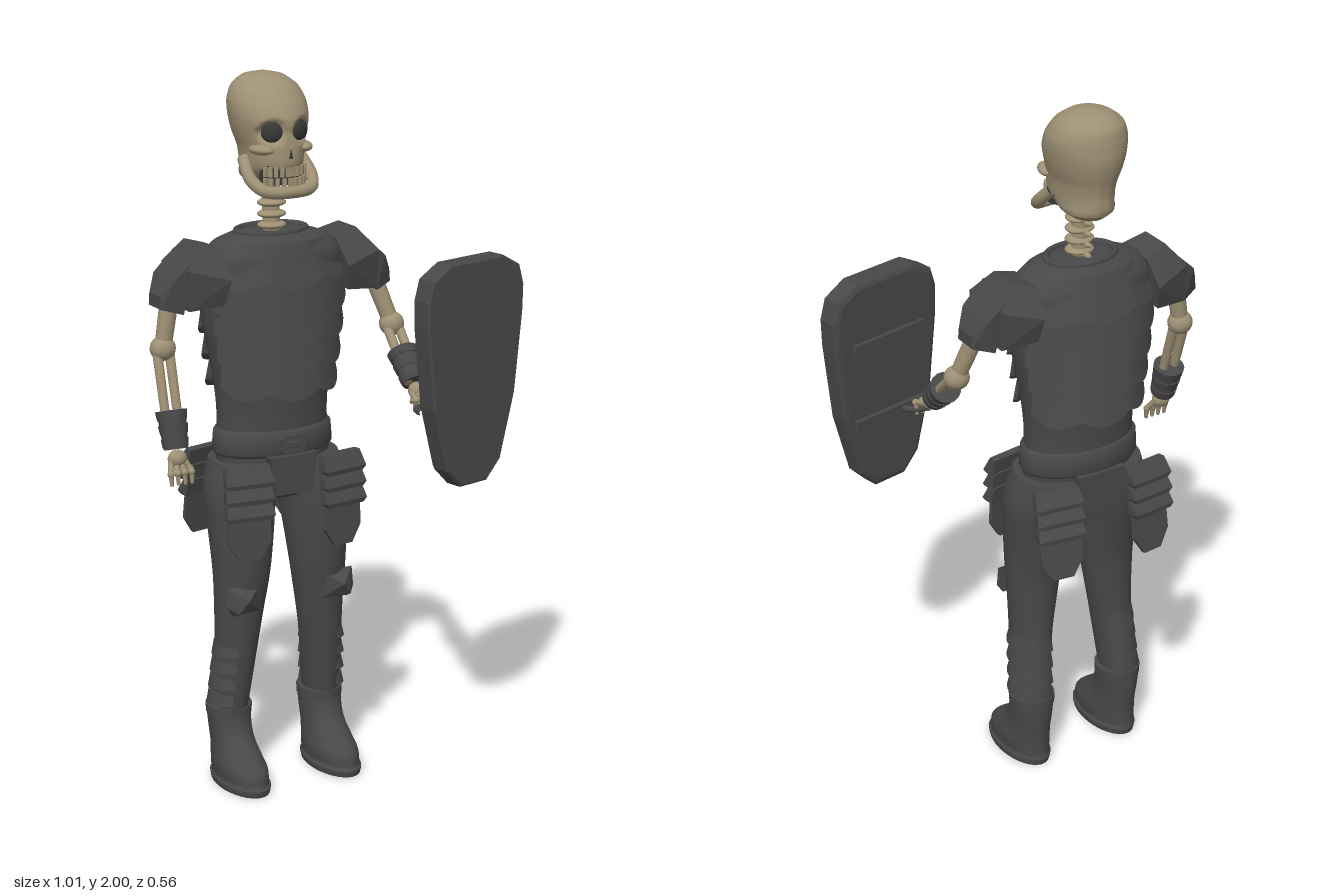
import * as THREE from 'three';
import { toCreasedNormals } from 'three/addons/utils/BufferGeometryUtils.js';
import { ConvexGeometry } from 'three/addons/geometries/ConvexGeometry.js';

const V = (x, y, z) => new THREE.Vector3(x, y, z);
const mat = (name, color) => Object.assign(new THREE.MeshStandardMaterial({ color }), { name });

export function createModel() {
  const bone = mat('bone', 0x9e9074), armour = mat('darkArmour', 0x484848), hollow = mat('hollow', 0x3a3835);
  const model = new THREE.Group();
  const body = new THREE.Group();
  body.name = 'skeletonWarrior';
  body.position.x = -0.12;
  model.add(body);

  const add = (name, geo, material, parent = body) => {
    const m = new THREE.Mesh(geo, material);
    m.name = name;
    parent.add(m);
    return m;
  };

  // Closed skin over a row of equal loops, capped at both ends and turned outward
  const skin = (rings, crease = 0.7) => {
    const n = rings[0].length, pts = rings.flat(), idx = [];
    for (let i = 0; i < rings.length - 1; i++) for (let j = 0; j < n; j++) {
      const a = i * n + j, b = i * n + (j + 1) % n;
      idx.push(a, a + n, b, b, a + n, b + n);
    }
    [0, rings.length - 1].forEach((r, end) => {
      const c = rings[r].reduce((s, p) => s.add(p), V(0, 0, 0)).divideScalar(n);
      const k = pts.push(c) - 1;
      for (let j = 0; j < n; j++) {
        const a = r * n + j, b = r * n + (j + 1) % n;
        end ? idx.push(k, b, a) : idx.push(k, a, b);
      }
    });
    let vol = 0;
    for (let i = 0; i < idx.length; i += 3)
      vol += pts[idx[i]].dot(V(0, 0, 0).crossVectors(pts[idx[i + 1]], pts[idx[i + 2]]));
    if (vol < 0) idx.reverse();
    const g = new THREE.BufferGeometry().setFromPoints(pts);
    g.setIndex(idx);
    return toCreasedNormals(g, crease);
  };

  // Elliptic loops smoothed through sections of [y, x, z, rx, rz]
  const loops = (secs, steps = 4, n = 32) => {
    const c = new THREE.CatmullRomCurve3(secs.map(s => V(s[1], s[0], s[2])));
    const r = new THREE.CatmullRomCurve3(secs.map(s => V(s[3], s[4], 0)));
    const count = (secs.length - 1) * steps;
    return Array.from({ length: count + 1 }, (_, i) => {
      const p = c.getPoint(i / count), q = r.getPoint(i / count);
      return Array.from({ length: n }, (_, j) => {
        const a = j / n * Math.PI * 2;
        return V(p.x + q.x * Math.cos(a), p.y, p.z + q.y * Math.sin(a));
      });
    });
  };
  const loft = (secs, steps, n) => skin(loops(secs, steps, n));

  // Curved plate with thickness; its lower edge follows dip(u), u from -1 to 1
  const plate = (x, z, top, bottom, mid, half, dip, t = 0.012) => skin(Array.from({ length: 25 }, (_, i) => {
    const u = i / 12 - 1, a = mid + u * half, d = dip(u);
    const at = ([y, rx, rz], o, dy) => V(x + (rx + o) * Math.cos(a), y + dy, z + (rz + o) * Math.sin(a));
    return [at(top, -t, 0), at(top, 0, 0), at(bottom, 0, d), at(bottom, -t, d)];
  }), 0.4);

  const rod = (name, a, b, r0, r1, material, sides = 12) => {
    const m = add(name, new THREE.CylinderGeometry(r1, r0, a.distanceTo(b), sides), material);
    m.position.copy(a).lerp(b, 0.5);
    m.quaternion.setFromUnitVectors(V(0, 1, 0), b.clone().sub(a).normalize());
    return m;
  };
  const ball = (name, p, rx, ry, rz, material) => {
    const m = add(name, new THREE.SphereGeometry(1, 20, 14), material);
    m.position.copy(p);
    m.scale.set(rx, ry, rz);
    return m;
  };
  const outline = half => new THREE.Shape([...half, ...half.map(([x, y]) => [-x, y]).reverse()].map(p => new THREE.Vector2(...p)));

  // Skull with sunken eye sockets
  const skull = loops([[1.7, 0, -0.14, 0.045, 0.05], [1.72, 0, -0.132, 0.07, 0.08], [1.755, 0, -0.104, 0.077, 0.112],
    [1.8, 0, -0.105, 0.082, 0.117], [1.84, 0, -0.113, 0.095, 0.121], [1.88, 0, -0.117, 0.104, 0.125],
    [1.92, 0, -0.126, 0.106, 0.115], [1.96, 0, -0.138, 0.091, 0.096], [1.988, 0, -0.145, 0.055, 0.06],
    [2.0, 0, -0.145, 0.003, 0.003]], 5, 64);
  for (const p of skull.flat()) {
    const d = Math.hypot(Math.abs(p.x) - 0.043, p.y - 1.853) / 0.036;
    if (p.z > -0.1 && d < 1) p.z -= 0.035 * (1 - d * d);
  }
  add('skull', skin(skull, 1.2), bone);
  for (const s of [-1, 1]) {
    ball('eyeSocket', V(s * 0.043, 1.853, -0.017), 0.029, 0.028, 0.012, hollow).rotation.y = s * 0.4;
    ball('cheekbone', V(s * 0.066, 1.805, -0.035), 0.022, 0.014, 0.04, bone).rotation.y = s * -0.4;
  }
  const nose = add('noseHole', new THREE.ConeGeometry(0.02, 0.045, 3), hollow);
  nose.position.set(0, 1.805, 0.009);
  nose.scale.z = 0.35;
  add('jaw', new THREE.TubeGeometry(new THREE.CatmullRomCurve3([V(-0.085, 1.775, -0.1), V(-0.092, 1.725, -0.045),
    V(-0.07, 1.698, -0.005), V(0, 1.692, 0.01), V(0.07, 1.698, -0.005), V(0.092, 1.725, -0.045), V(0.085, 1.775, -0.1)]),
    40, 0.017, 10), bone);
  add('mouthHollow', loft([[1.71, 0, -0.045, 0.06, 0.045], [1.765, 0, -0.045, 0.062, 0.05]], 1, 24), hollow);
  for (const [y, n] of [[1.747, 10], [1.717, 9]]) for (let i = 0; i < n; i++) {
    const a = (i / (n - 1) - 0.5) * 2.3;
    const tooth = add('tooth', new THREE.BoxGeometry(0.011, 0.026, 0.01), bone);
    tooth.position.set(Math.sin(a) * 0.064, y, -0.046 + Math.cos(a) * 0.055);
    tooth.rotation.y = a;
  }

  // Neck vertebrae
  rod('spine', V(0, 1.55, -0.1), V(0, 1.73, -0.11), 0.024, 0.024, bone);
  for (let i = 0; i < 5; i++) {
    ball('vertebra', V(0, 1.585 + i * 0.031, -0.1), 0.041, 0.012, 0.036, bone);
    ball('vertebraSpur', V(0, 1.58 + i * 0.031, -0.138), 0.009, 0.008, 0.016, bone);
  }

  // Torso, belt and hips
  add('torso', loft([[0.95, 0, -0.105, 0.168, 0.105], [1.06, 0, -0.105, 0.164, 0.106], [1.18, 0, -0.105, 0.175, 0.113],
    [1.3, 0, -0.105, 0.2, 0.12], [1.42, 0, -0.105, 0.217, 0.124], [1.51, 0, -0.105, 0.212, 0.118],
    [1.55, 0, -0.105, 0.17, 0.1], [1.572, 0, -0.105, 0.105, 0.075]], 4, 40), armour);
  const collar = add('collar', new THREE.TorusGeometry(0.1, 0.01, 8, 36), armour);
  collar.position.set(0, 1.572, -0.105);
  collar.rotation.x = Math.PI / 2;
  collar.scale.y = 0.72;
  const bands = [[1.55, 0.165, 1.45, 0.222], [1.465, 0.21, 1.365, 0.22], [1.385, 0.205, 1.29, 0.213],
    [1.31, 0.195, 1.215, 0.203], [1.235, 0.18, 1.14, 0.192]];
  const wave = u => -0.022 * Math.abs(Math.cos(u * Math.PI * 1.5)) + 0.02 * u * u;
  for (const [y0, r0, y1, r1] of bands) {
    const z0 = y0 > 1.5 ? 0.105 : 0.12;
    add('chestBand', plate(0, -0.105, [y0, r0, z0], [y1, r1, 0.142], Math.PI / 2, 1.25, wave), armour);
    add('backBand', plate(0, -0.105, [y0, r0, z0], [y1, r1, 0.15], -Math.PI / 2, 1.25, wave, 0.018), armour);
  }
  add('belt', loft([[0.955, 0, -0.105, 0.172, 0.108], [0.965, 0, -0.105, 0.179, 0.115], [1.02, 0, -0.105, 0.175, 0.113],
    [1.03, 0, -0.105, 0.166, 0.106]], 2, 40), armour);
  const buckleShape = outline([[0.03, 0.025], [0.038, 0.015], [0.038, -0.015], [0.03, -0.025]]);
  buckleShape.holes.push(outline([[0.024, 0.013], [0.024, -0.013]]));
  add('buckle', new THREE.ExtrudeGeometry(buckleShape, { depth: 0.014, bevelEnabled: false }), armour).position.set(0, 0.993, 0.007);
  add('buckleTongue', new THREE.BoxGeometry(0.05, 0.01, 0.016), armour).position.set(0, 0.993, 0.012);
  add('hips', loft([[0.83, 0, -0.095, 0.09, 0.075], [0.87, 0, -0.095, 0.16, 0.1], [0.97, 0, -0.105, 0.172, 0.106]], 4), armour);
  const loin = new THREE.ExtrudeGeometry(outline([[0.074, 0.06], [0.058, -0.05]]), { depth: 0.03, bevelEnabled: false });
  for (const z of [-0.007, -0.227]) add('loinGuard', loin, armour).position.set(0, 0.902, z);

  const flapGeo = new THREE.ExtrudeGeometry(outline([[0.06, 0.1], [0.062, -0.05], [0.03, -0.1]]), { depth: 0.012, bevelEnabled: false });
  const bootSide = [[0, 0, -0.035, 0.066, 0.128], [0.018, 0, -0.035, 0.069, 0.132], [0.024, 0, -0.037, 0.064, 0.127],
    [0.055, 0, -0.04, 0.066, 0.122], [0.085, 0, -0.057, 0.062, 0.106], [0.115, 0, -0.077, 0.058, 0.088],
    [0.145, 0, -0.092, 0.058, 0.076], [0.18, 0, -0.1, 0.06, 0.07], [0.215, 0, -0.103, 0.063, 0.067]];

  for (const s of [-1, 1]) {
    // Leg, boot and shin wraps
    add('leg', loft([[0.18, s * 0.148, -0.102, 0.047, 0.06], [0.3, s * 0.143, -0.088, 0.055, 0.066],
      [0.42, s * 0.134, -0.075, 0.061, 0.067], [0.52, s * 0.127, -0.07, 0.07, 0.072], [0.62, s * 0.121, -0.066, 0.08, 0.082],
      [0.74, s * 0.117, -0.075, 0.09, 0.1], [0.86, s * 0.113, -0.09, 0.098, 0.114], [0.94, s * 0.1, -0.1, 0.088, 0.108]]), armour);
    add('boot', loft(bootSide.map(([y, , ...r]) => [y, s * 0.147, ...r]), 3), armour);
    add('bootCuff', loft([[0.197, s * 0.147, -0.102, 0.064, 0.069], [0.222, s * 0.147, -0.102, 0.065, 0.069]], 1), armour);
    for (let i = 0; i < 4; i++)
      add('shinWrap', plate(s * (0.136 + i * 0.003), -0.077 - i * 0.006, [0.415 - i * 0.05, 0.06, 0.066],
        [0.375 - i * 0.05, 0.067, 0.074], s > 0 ? -0.5 : Math.PI + 0.5, 1.7, u => 0.012 * s * u, 0.01), armour);

    // Knee guard with a raised ridge
    const knee = [[-0.052, 0.6, 0], [0.05, 0.6, 0], [0.055, 0.545, 0], [0.035, 0.515, 0], [-0.05, 0.52, 0], [0.005, 0.565, 0.042], [0.03, 0.53, 0.03]];
    add('kneeGuard', new ConvexGeometry(knee.map(([x, y, z]) => V(s * (0.147 + x), y, z - 0.002))), armour);

    // Hip guards, front and back
    for (const f of [1, -1]) {
      const guard = new THREE.Group();
      guard.name = f > 0 ? 'frontHipGuard' : 'backHipGuard';
      guard.position.set(s * 0.145, 0.95, f > 0 ? 0.014 : -0.216);
      guard.rotation.set(f > 0 ? -0.06 : 0.16, f > 0 ? s * 0.15 : Math.PI - s * 0.15, 0);
      body.add(guard);
      for (let i = 0; i < 3; i++) {
        const g = add('hipPlate', new ConvexGeometry([-1, 1].flatMap(k => [V(k * 0.064, 0, -0.012), V(k * 0.062, 0, 0.012),
          V(k * 0.07, -0.045, 0.03), V(k * 0.06, -0.058, 0.026), V(k * 0.066, -0.05, -0.006)])), armour, guard);
        g.position.set(0, -i * 0.046, 0.004);
      }
      add('hipFlap', flapGeo, armour, guard).position.set(0, -0.165, 0);
    }

    // Faceted shoulder guard in overlapping pieces
    const hull = (name, pts) => add(name, new ConvexGeometry(pts.map(([x, y, z]) => V(s * x, y, z))), armour);
    hull('shoulderGuard', [[0.17, 1.54, -0.17], [0.17, 1.54, -0.05], [0.24, 1.562, -0.155], [0.24, 1.562, -0.06], [0.18, 1.47, -0.22],
      [0.18, 1.47, 0.01], [0.29, 1.5, -0.19], [0.29, 1.5, -0.015], [0.19, 1.4, -0.2], [0.19, 1.4, -0.01], [0.29, 1.39, -0.18], [0.29, 1.39, -0.025]]);
    hull('outerShoulderGuard', [[0.23, 1.555, -0.13], [0.23, 1.555, -0.08], [0.26, 1.535, -0.175], [0.26, 1.535, -0.035], [0.325, 1.475, -0.17],
      [0.325, 1.475, -0.04], [0.355, 1.43, -0.135], [0.355, 1.43, -0.07], [0.355, 1.395, -0.14], [0.355, 1.395, -0.065], [0.3, 1.38, -0.165], [0.3, 1.38, -0.04]]);

    // Arm bones, wrist cuff and hand; the left arm reaches forward
    const left = s > 0;
    const shoulder = V(s * 0.31, 1.43, -0.1), elbow = left ? V(0.355, 1.275, -0.055) : V(-0.335, 1.28, -0.1);
    const wrist = left ? V(0.34, 1.14, 0.095) : V(-0.342, 1.02, -0.015);
    const dir = wrist.clone().sub(elbow).normalize();
    rod('upperArm', shoulder, elbow, 0.026, 0.023, bone);
    ball('elbow', elbow, 0.036, 0.034, 0.034, bone);
    for (const k of [-1, 1]) {
      const o = V(k * 0.018, 0, 0);
      rod('forearmBone', elbow.clone().add(o), wrist.clone().add(o), 0.014, 0.012, bone);
    }
    const along = d => wrist.clone().addScaledVector(dir, d);
    rod('wristCuff', along(-0.1), along(0), 0.04, 0.033, armour, 16);
    for (let i = 0; i < 3; i++) rod('cuffRing', along(-0.105 + i * 0.038), along(-0.08 + i * 0.038), 0.044 - i * 0.003, 0.041 - i * 0.003, armour, 16);
    ball('palm', along(0.025), 0.027, 0.024, 0.022, bone);
    for (let i = 0; i < 4; i++) {
      const x = (i - 1.5) * 0.017, base = along(0.03).add(V(x * 0.8, 0, 0));
      const knuckle = base.clone().add(left ? V(x * 0.3, -0.012, 0.036) : V(x * 0.4, -0.03, 0.022));
      const tip = knuckle.clone().add(left ? V(0, -0.034, -0.006) : V(0, -0.032, 0.004));
      rod('finger', base, knuckle, 0.008, 0.008, bone, 8);
      ball('knuckle', knuckle, 0.01, 0.01, 0.01, bone);
      rod('fingertip', knuckle, tip, 0.008, 0.005, bone, 8);
    }
    rod('thumb', along(0.015), along(0.045).add(V(-s * 0.035, -0.01, 0.015)), 0.009, 0.006, bone, 8);
  }

  // Shield: bevelled slab, raised rim and straps behind
  const shield = new THREE.Group();
  shield.name = 'shield';
  shield.position.set(0.44, 1.187, 0.21);
  shield.rotation.y = 0.21;
  body.add(shield);
  const half = [[0.1, 0.315], [0.165, 0.28], [0.182, 0.225], [0.18, 0.15], [0.153, -0.08], [0.1, -0.265], [0.05, -0.315]];
  const scaled = (kx, ky) => outline(half.map(([x, y]) => [x * kx, y * ky]));
  add('shieldBoard', new THREE.ExtrudeGeometry(scaled(0.92, 0.955), { depth: 0.026, bevelThickness: 0.014, bevelSize: 0.014, bevelSegments: 2 }), armour, shield).position.z = -0.018;
  const rim = scaled(0.97, 0.985);
  rim.holes.push(scaled(0.84, 0.905));
  add('shieldRim', new THREE.ExtrudeGeometry(rim, { depth: 0.05, bevelThickness: 0.006, bevelSize: 0.006, bevelSegments: 1 }), armour, shield).position.z = -0.022;
  for (const y of [0.13, -0.1]) add('shieldStrap', new THREE.BoxGeometry(0.25, 0.03, 0.014), armour, shield).position.set(0, y, -0.038);
  const grip = add('shieldGrip', new THREE.TorusGeometry(0.05, 0.01, 8, 20, Math.PI), armour, shield);
  grip.position.set(-0.09, -0.1, -0.032);
  grip.rotation.x = -Math.PI / 2;
  return model;
}
